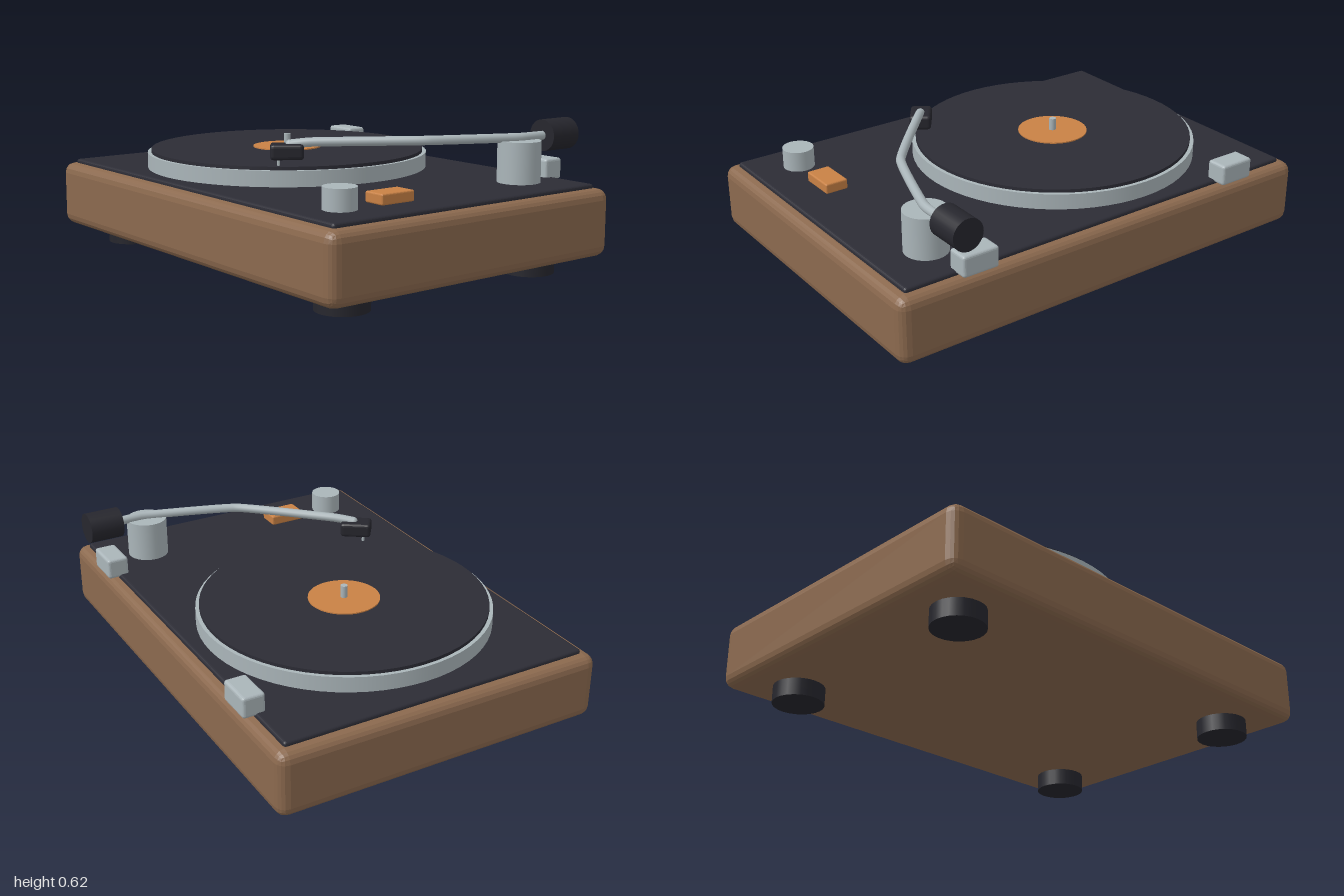
import * as THREE from 'three';
import { RoundedBoxGeometry } from 'three/addons/geometries/RoundedBoxGeometry.js';

const material = (name, color) => {
  const m = new THREE.MeshStandardMaterial({ color });
  m.name = name;
  return m;
};

export function createModel() {
  const wood = material('walnut', 0x8b694e);
  const charcoal = material('charcoal', 0x2c2c35);
  const rubber = material('black', 0x26262d);
  const metal = material('brushed metal', 0xaab5b9);
  const orange = material('orange', 0xc88145);

  const model = new THREE.Group();
  model.name = 'recordPlayer';

  const add = (name, geometry, mat, x, y, z) => {
    const mesh = new THREE.Mesh(geometry, mat);
    mesh.name = name;
    mesh.position.set(x, y, z);
    model.add(mesh);
    return mesh;
  };
  // bevelled box with faceted edges, spanning y0..y1
  const box = (name, mat, w, d, y0, y1, x, z, bevel) => {
    const g = new RoundedBoxGeometry(w, y1 - y0, d, 2, bevel);
    g.computeVertexNormals();
    return add(name, g, mat, x, (y0 + y1) / 2, z);
  };
  // upright cylinder, spanning y0..y1
  const disc = (name, mat, r, y0, y1, x, z, sides = 32) =>
    add(name, new THREE.CylinderGeometry(r, r, y1 - y0, sides), mat, x, (y0 + y1) / 2, z);

  const cz = 0.013; // plinth centre in z

  // plinth, top plate and feet
  box('plinth', wood, 2, 1.435, 0.073, 0.353, 0, cz, 0.045);
  box('topPlate', charcoal, 1.9, 1.34, 0.34, 0.37, 0, cz, 0.012);
  for (const sx of [-1, 1]) {
    for (const sz of [-1, 1]) {
      disc('foot', rubber, 0.107, 0, 0.08, sx * 0.77, cz + sz * 0.488, 24);
    }
    // lid hinges at the back edge
    box('hinge', metal, 0.16, 0.094, 0.358, 0.447, sx * 0.65, -0.66, 0.012);
  }

  // platter, record, label and spindle
  const px = -0.235;
  disc('platter', metal, 0.614, 0.365, 0.436, px, cz, 64);
  disc('record', charcoal, 0.598, 0.436, 0.45, px, cz, 64);
  disc('recordLabel', orange, 0.15, 0.449, 0.455, px, cz, 40);
  disc('spindle', metal, 0.015, 0.45, 0.507, px, cz, 12);

  // controls
  disc('knob', metal, 0.066, 0.365, 0.456, 0.754, 0.5, 24);
  box('switch', orange, 0.1, 0.16, 0.37, 0.414, 0.75, 0.258, 0.007);

  // tonearm post and counterweight
  disc('armPost', metal, 0.089, 0.365, 0.541, 0.727, -0.453, 32);
  const weight = add('counterweight', new THREE.CylinderGeometry(0.066, 0.066, 0.15, 28),
    rubber, 0.727, 0.55, -0.66);
  weight.rotation.x = Math.PI / 2;

  // bent tonearm
  const path = new THREE.CatmullRomCurve3([
    new THREE.Vector3(0.727, 0.55, -0.62),
    new THREE.Vector3(0.727, 0.552, -0.45),
    new THREE.Vector3(0.59, 0.557, -0.065),
    new THREE.Vector3(0.3, 0.548, 0.27),
    new THREE.Vector3(0.236, 0.538, 0.343),
  ], false, 'catmullrom', 0.2);
  add('tonearm', new THREE.TubeGeometry(path, 40, 0.019, 12), metal, 0, 0, 0);
  add('tonearmTip', new THREE.SphereGeometry(0.019, 12, 8), metal, 0.236, 0.538, 0.343);

  // headshell and stylus
  const shell = box('headshell', rubber, 0.092, 0.135, 0.478, 0.541, 0.228, 0.352, 0.014);
  shell.rotation.y = -0.62;
  disc('stylus', metal, 0.006, 0.449, 0.485, 0.2, 0.373, 8);

  return model;
}
